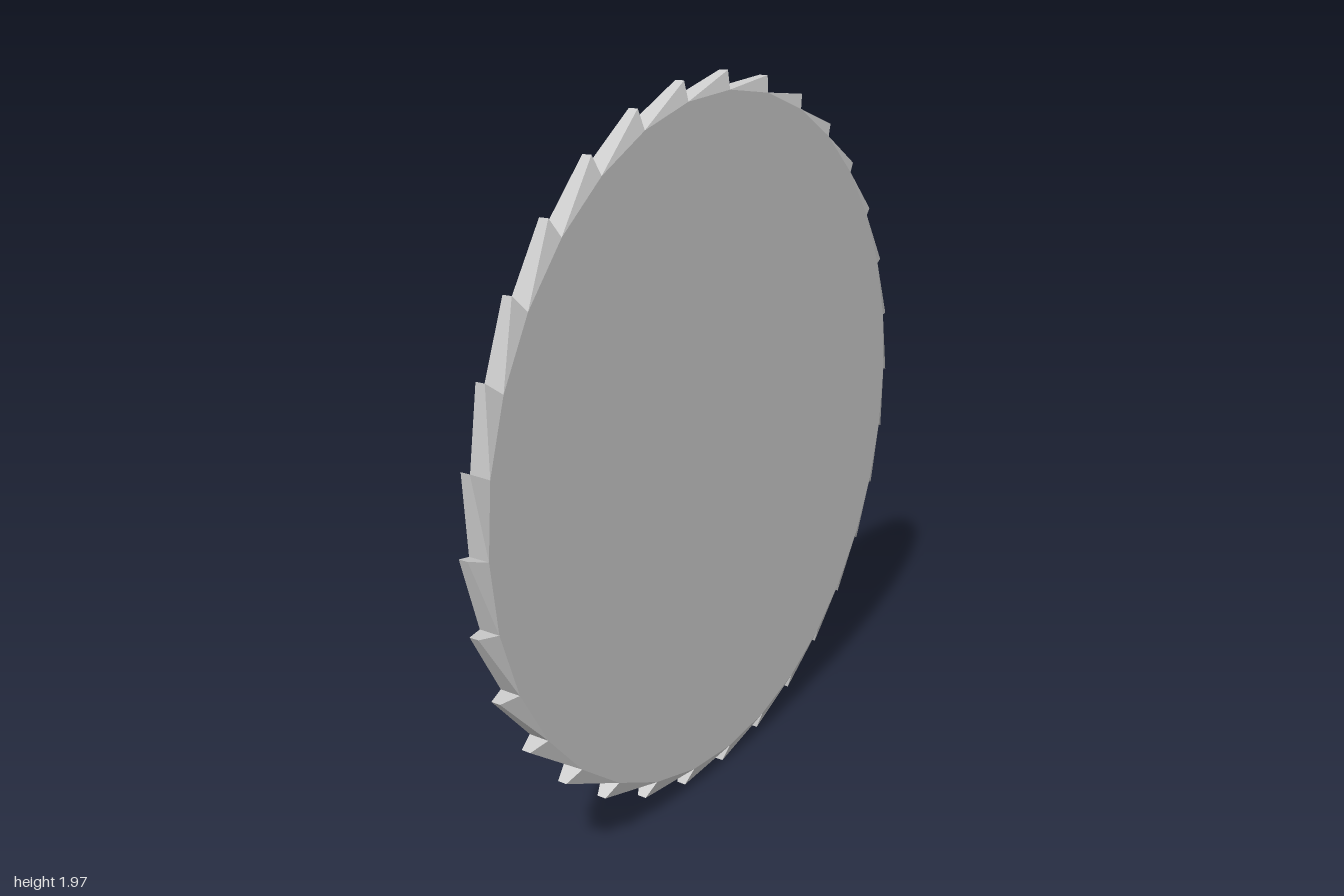
import * as THREE from 'three';

const TEETH = 32;
const HALF = 0.029;       // half thickness of the plate
const TIP_HALF = 0.013;   // half width of a tooth tip
const GULLET = 0.952;     // gullet radius relative to the tips
const UNDERCUT = 0.015;   // how far the steep face leans back, in radians
const PHASE = 0.011;
const CY = 0.984;

// Point on the very slightly out-of-round rim
function rim(x, angle, r) {
  const s = Math.sin(angle);
  return [x, CY * (1 + r * s), r * Math.cos(angle) - 0.016 * s * s];
}

function meshFrom(name, points, material) {
  const geometry = new THREE.BufferGeometry();
  geometry.setAttribute('position', new THREE.Float32BufferAttribute(points.flat(), 3));
  geometry.computeVertexNormals();
  const mesh = new THREE.Mesh(geometry, material);
  mesh.name = name;
  return mesh;
}

export function createModel() {
  const group = new THREE.Group();
  group.name = 'sawBlade';
  const material = new THREE.MeshStandardMaterial({ color: 0xcccccc, flatShading: true });

  const plate = [];
  const teeth = [];
  const quad = (a, b, c, d) => teeth.push(a, b, c, a, c, d);
  const gullet = (x, i) => rim(x, (i / TEETH) * Math.PI * 2 + PHASE - UNDERCUT, GULLET);
  const tip = (x, i) => rim(x, (i / TEETH) * Math.PI * 2 + PHASE, 1);

  for (let i = 0; i < TEETH; i++) {
    const [aL, aR] = [gullet(HALF, i - 1), gullet(-HALF, i - 1)];
    const [bL, bR] = [gullet(HALF, i), gullet(-HALF, i)];
    const [tL, tR] = [tip(TIP_HALF, i), tip(-TIP_HALF, i)];

    // Flat plate sides
    plate.push([HALF, CY, 0], bL, aL, [-HALF, CY, 0], aR, bR);

    // Long back and steep cutting face of the tooth
    quad(aL, tL, tR, aR);
    quad(tL, bL, bR, tR);

    // Bevelled tooth flanks
    teeth.push(aL, bL, tL, aR, tR, bR);
  }

  group.add(meshFrom('bladePlate', plate, material), meshFrom('bladeTeeth', teeth, material));
  return group;
}
